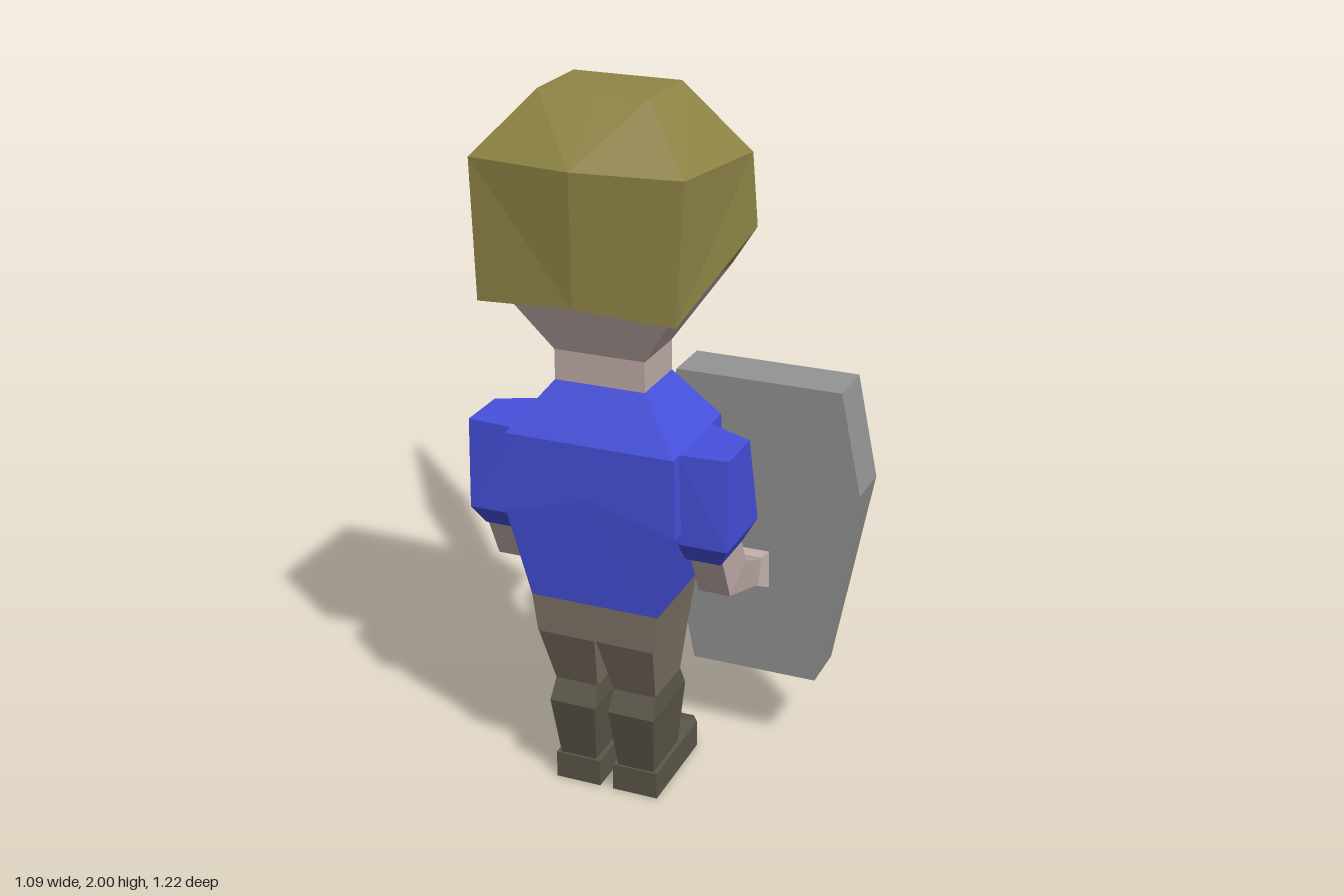
import * as THREE from 'three';

const flat = (name, color, double) => {
  const m = new THREE.MeshStandardMaterial({ color, flatShading: true });
  m.name = name;
  if (double) m.side = THREE.DoubleSide;
  return m;
};
const CX = -0.055; // body centre line

// Solid through matching loops of points, closed at both ends
function loft(loops) {
  const pts = loops.flat(), n = loops[0].length, tris = [];
  for (let i = 0; i < loops.length - 1; i++)
    for (let j = 0; j < n; j++) {
      const a = i * n + j, b = i * n + (j + 1) % n;
      tris.push([a, b, b + n], [a, b + n, a + n]);
    }
  const e = (loops.length - 1) * n;
  for (let j = 1; j < n - 1; j++) tris.push([0, j + 1, j], [e, e + j, e + j + 1]);
  const v = pts.map(p => new THREE.Vector3(...p));
  let volume = 0;
  for (const [a, b, c] of tris) volume += v[a].dot(v[b].clone().cross(v[c]));
  if (volume < 0) tris.forEach(t => t.reverse());
  return toGeometry(tris.map(t => t.map(i => v[i])));
}

// Flat polygons turned to face away from a centre point
function panels(faces, centre) {
  const tris = [];
  for (const f of faces) {
    const v = f.map(p => new THREE.Vector3(...p));
    for (let i = 1; i < v.length - 1; i++) {
      const t = [v[0], v[i], v[i + 1]];
      const n = t[1].clone().sub(t[0]).cross(t[2].clone().sub(t[0]));
      if (n.dot(t[0].clone().add(t[1]).add(t[2]).divideScalar(3).sub(centre)) < 0) t.reverse();
      tris.push(t);
    }
  }
  return toGeometry(tris);
}

function toGeometry(tris) {
  const g = new THREE.BufferGeometry().setFromPoints(tris.flat());
  g.computeVertexNormals();
  return g;
}

const rect = (x0, x1, y, z0, z1) => [[x0, y, z0], [x1, y, z0], [x1, y, z1], [x0, y, z1]];
const upright = (hw, y0, y1, z) => [[-hw, y0, z], [hw, y0, z], [hw, y1, z], [-hw, y1, z]];
const mirror = (loop, s) => loop.map(([x, y, z]) => [x * s, y, z]);

export function createModel() {
  const model = new THREE.Group();
  const body = new THREE.Group();
  body.name = 'body';
  body.position.x = CX;
  model.add(body);

  const skin = flat('skin', 0xc2aeaa), hair = flat('hair', 0x8f8546, true);
  const shirt = flat('shirt blue', 0x4751de), trousers = flat('trouser brown', 0x7e7266);
  const boots = flat('boot brown', 0x5c5749), metal = flat('grey metal', 0x949494);
  const red = flat('dark red', 0x7c3834), dark = flat('eye dark', 0x45443f);
  const add = (parent, name, geometry, material) => {
    const m = new THREE.Mesh(geometry, material);
    m.name = name;
    parent.add(m);
    return m;
  };
  const box = (parent, name, size, pos, material) => {
    const m = add(parent, name, new THREE.BoxGeometry(...size), material);
    m.position.set(...pos);
    return m;
  };

  // Torso with a raised centre point on chest and back
  const ring = (h, y, z0, z1, yc = y) =>
    [[-h, y, z0], [0, yc, z0], [h, y, z0], [h, y, z1], [0, yc, z1], [-h, y, z1]];
  add(body, 'shirt', loft([ring(0.185, 0.61, 0.235, 0.51), ring(0.245, 0.86, 0.195, 0.53, 0.93),
    ring(0.24, 1.085, 0.195, 0.53), ring(0.128, 1.225, 0.27, 0.45)]), shirt);
  add(body, 'hips', loft([rect(-0.17, 0.17, 0.5, 0.245, 0.51), rect(-0.185, 0.185, 0.61, 0.235, 0.51)]), trousers);

  // Neck and head
  add(body, 'neck', loft([rect(-0.128, 0.128, 1.22, 0.27, 0.45), rect(-0.128, 0.128, 1.315, 0.27, 0.45)]), skin);
  add(body, 'head', loft([rect(-0.128, 0.128, 1.31, 0.27, 0.45), rect(-0.262, 0.262, 1.51, 0.18, 0.53),
    rect(-0.262, 0.262, 1.82, 0.175, 0.53)]), skin);
  add(body, 'nose', loft([upright(0.026, 1.56, 1.615, 0.18), upright(0.022, 1.56, 1.605, 0.118)]), skin);

  // Hair shell: half of its faces, then mirrored
  const tf = [0.15, 2, 0.25], tb = [0.15, 2, 0.46], ft = [0.31, 1.81, 0.163], fb = [0.322, 1.61, 0.155];
  const bt = [0.29, 1.84, 0.575], bc = [0, 1.84, 0.61], bb = [0.272, 1.47, 0.59], bbc = [0, 1.488, 0.605];
  const it = [0.255, 1.795, 0.172], ib = [0.262, 1.51, 0.18], inb = [0.262, 1.51, 0.53];
  const half = [
    [[0, 2, 0.25], tf, tb, [0, 2, 0.46]], [[0, 2, 0.25], tf, ft, [0, 1.815, 0.163]],
    [tf, tb, bt, ft], [tb, bt, bc, [0, 2, 0.46]], [ft, bt, bb, fb], [bt, bc, bbc, bb],
    [ft, fb, ib, it], [[0, 1.815, 0.163], ft, it, [0, 1.81, 0.176]],
    [fb, bb, inb, ib], [bb, bbc, [0, 1.51, 0.53], inb],
  ];
  add(body, 'hair', panels([...half, ...half.map(f => mirror(f, -1))], new THREE.Vector3(0, 1.7, 0.38)), hair);

  // Mouth on the sloping jaw
  const lips = new THREE.Shape([[-0.055, 0.014], [0.055, 0.014], [0.028, -0.016], [-0.028, -0.016]]
    .map(p => new THREE.Vector2(...p)));
  const mouth = add(body, 'mouth', new THREE.ExtrudeGeometry(lips, { depth: 0.006, bevelEnabled: false }), red);
  mouth.position.set(0, 1.482, 0.191);
  mouth.rotation.set(-0.42, Math.PI, 0);

  for (const s of [-1, 1]) {
    const side = s > 0 ? 'left' : 'right';
    const part = (name, loops, material) => add(body, side + name, loft(loops.map(l => mirror(l, s))), material);

    // Eyes and brows
    const eye = add(body, side + 'Eye', new THREE.CylinderGeometry(1, 1, 0.008, 12), dark);
    eye.rotation.x = Math.PI / 2;
    eye.scale.set(0.024, 1, 0.043);
    eye.position.set(s * 0.105, 1.68, 0.174);
    box(body, side + 'Brow', [0.07, 0.024, 0.008], [s * 0.12, 1.757, 0.173], hair);

    // Sleeve, bent forearm and hand
    part('Sleeve', [
      [[0.245, 0.775, 0.3], [0.345, 0.775, 0.3], [0.345, 0.775, 0.46], [0.245, 0.775, 0.46]],
      [[0.235, 0.83, 0.262], [0.373, 0.83, 0.262], [0.373, 0.83, 0.49], [0.235, 0.83, 0.49]],
      [[0.235, 1.085, 0.265], [0.373, 1.085, 0.33], [0.373, 1.085, 0.48], [0.235, 1.085, 0.49]],
    ], shirt);
    const slice = (x0, x1, yf, zf, yb, zb) => [[x0, yf, zf], [x1, yf, zf], [x1, yb, zb], [x0, yb, zb]];
    part('Forearm', [slice(0.255, 0.345, 0.78, 0.31, 0.78, 0.45), slice(0.255, 0.345, 0.7, 0.27, 0.65, 0.39),
      slice(0.26, 0.33, 0.625, 0.11, 0.555, 0.13)], skin);
    part('Hand', [slice(0.26, 0.33, 0.63, 0.11, 0.55, 0.13), slice(0.25, 0.342, 0.635, 0.07, 0.525, 0.08),
      slice(0.258, 0.335, 0.6, -0.02, 0.515, -0.01)], skin);
    box(body, side + 'Thumb', [0.045, 0.04, 0.045], [s * 0.233, 0.567, 0.082], skin);

    // Trouser leg, boot shaft and foot
    part('TrouserLeg', [rect(0.025, 0.15, 0.32, 0.27, 0.445), rect(0.002, 0.17, 0.505, 0.245, 0.51)], trousers);
    part('BootShaft', [rect(0.036, 0.14, 0.06, 0.27, 0.44), rect(0.02, 0.156, 0.265, 0.245, 0.477),
      rect(0.025, 0.15, 0.325, 0.27, 0.445)], boots);
    const foot = add(body, side + 'Foot', loft([upright(0.067, 0, 0.08, 0.45), upright(0.067, 0, 0.08, 0.15),
      upright(0.035, 0.018, 0.062, 0.095)]), boots);
    foot.position.x = s * 0.087;
  }

  // Shield: solid back, raised rim and inset panel
  const shield = new THREE.Group();
  shield.name = 'shield';
  shield.position.set(0.245, 0.7, 0);
  model.add(shield);
  const outline = [[-0.24, 0.445], [-0.3, 0.15], [-0.185, -0.45], [0.185, -0.45], [0.3, 0.15], [0.24, 0.445]];
  const scaled = k => outline.map(([x, y]) => new THREE.Vector2(x * k, y * (k + (1 - k) * 0.45)));
  const slab = (name, shape, z, depth, material) =>
    add(shield, name, new THREE.ExtrudeGeometry(shape, { depth, bevelEnabled: false }), material).position.z = z;
  const rim = new THREE.Shape(scaled(1));
  rim.holes.push(new THREE.Path(scaled(0.79)));
  slab('shieldBack', new THREE.Shape(scaled(1)), -0.055, 0.13, metal);
  slab('shieldRim', rim, -0.075, 0.02, metal);
  slab('shieldPanel', new THREE.Shape(scaled(0.79)), -0.061, 0.006, red);

  // Sword: built along its own y axis from the pommel, then tilted
  const sword = new THREE.Group();
  sword.name = 'sword';
  const d = new THREE.Vector3(-0.27, 1.32, -0.715).normalize();
  const w = new THREE.Vector3(0.32, -0.38, -0.86);
  w.addScaledVector(d, -w.dot(d)).normalize();
  sword.quaternion.setFromRotationMatrix(new THREE.Matrix4().makeBasis(w, d, w.clone().cross(d)));
  sword.position.set(-0.27, 0.41, 0.11);
  model.add(sword);
  const diamond = (a, b, y) => [[-a, y, 0], [0, y, b], [a, y, 0], [0, y, -b]];
  add(sword, 'blade', loft([diamond(0.055, 0.028, 0.25), diamond(0.087, 0.034, 1.057),
    diamond(0.008, 0.006, 1.525)]), metal);
  box(sword, 'guard', [0.235, 0.06, 0.055], [0, 0.25, 0], metal);
  box(sword, 'grip', [0.072, 0.25, 0.042], [0, 0.125, 0], metal);

  return model;
}
